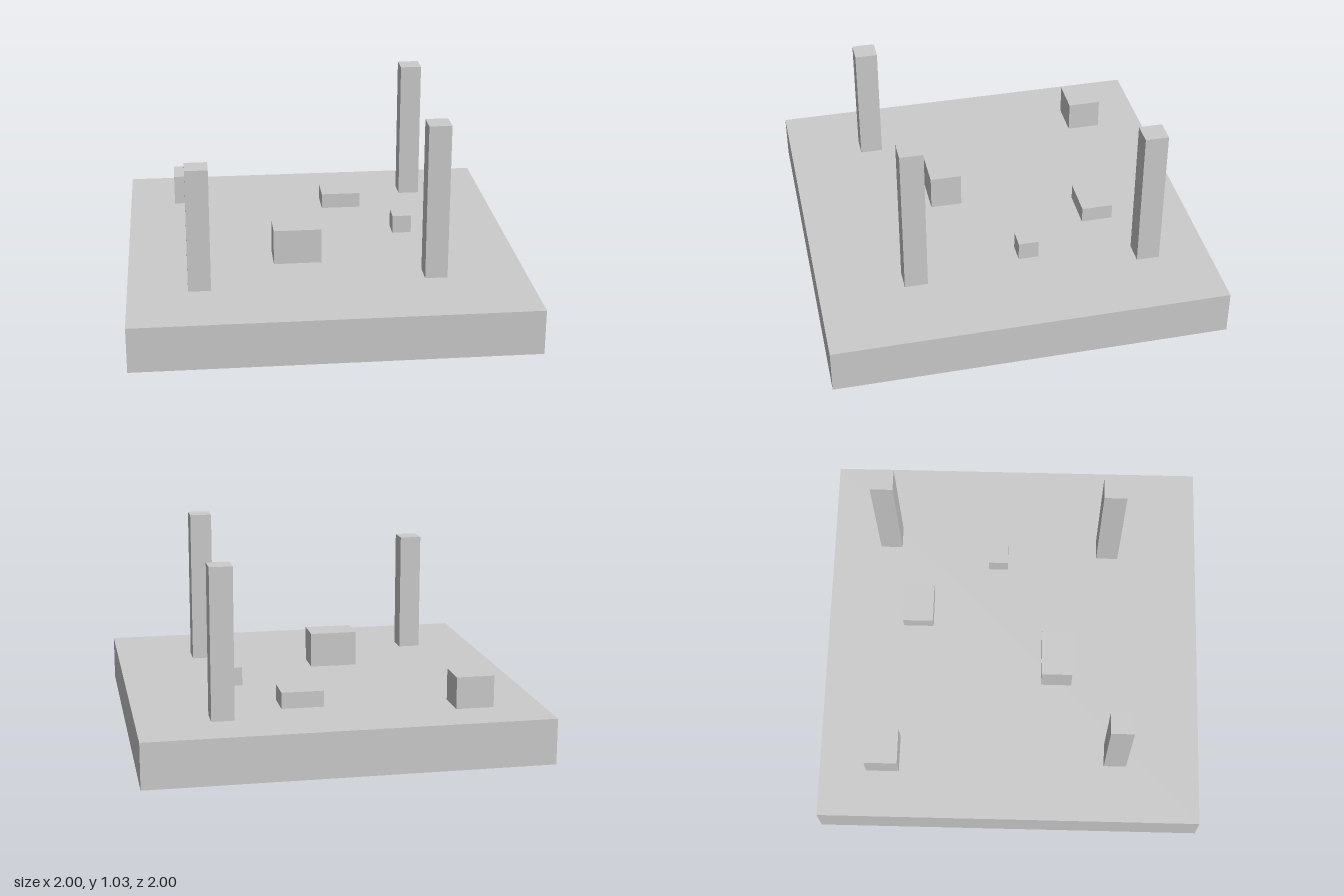
import * as THREE from 'three';

const BASE_TOP = 0.23;

export function createModel() {
  const model = new THREE.Group();
  const material = new THREE.MeshStandardMaterial({ color: 0xcccccc, flatShading: true });

  // Upright box centred on (x, z), spanning bottom to top
  const addBox = (name, x, z, width, depth, bottom, top) => {
    const mesh = new THREE.Mesh(new THREE.BoxGeometry(width, top - bottom, depth), material);
    mesh.name = name;
    mesh.position.set(x, (bottom + top) / 2, z);
    model.add(mesh);
  };

  // Square ground slab
  addBox('base', 0, 0, 2, 2, 0, BASE_TOP);

  // Tall pillars: x, z, top
  const pillars = [
    [-0.645, 0.558, 0.86],
    [0.54, 0.512, 1.03],
    [0.583, -0.683, 0.98],
  ];
  pillars.forEach(([x, z, top], i) => addBox(`pillar${i + 1}`, x, z, 0.113, 0.117, BASE_TOP, top));

  // Low blocks: x, z, width, depth, top
  const blocks = [
    [-0.66, -0.668, 0.19, 0.173, 0.39],
    [0.17, -0.513, 0.212, 0.162, 0.312],
    [0.455, -0.087, 0.1, 0.104, 0.326],
    [-0.136, 0.241, 0.245, 0.163, 0.412],
  ];
  blocks.forEach(([x, z, width, depth, top], i) =>
    addBox(`block${i + 1}`, x, z, width, depth, BASE_TOP, top));

  return model;
}
